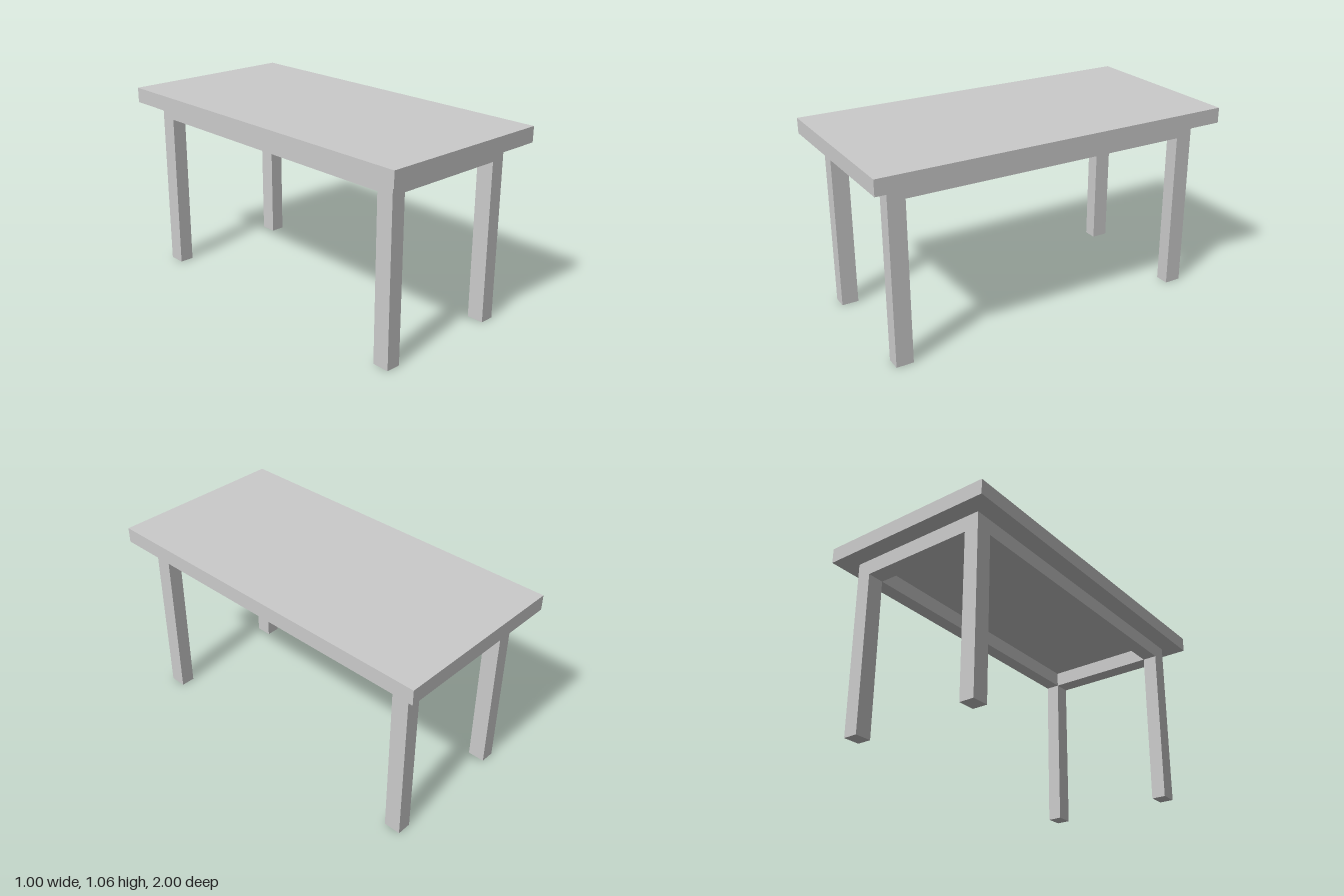
import * as THREE from 'three';

const TOP = 1.056, TOP_UNDER = 0.972, APRON_UNDER = 0.887;
const OUT_X = 0.4, OUT_Z = 0.902;   // outer faces of legs and apron
const IN_X = 0.32, IN_Z = 0.808;    // inner faces of legs and apron

const material = new THREE.MeshStandardMaterial({ color: 0xcccccc, flatShading: true });

function addPart(parent, name, geometry, x = 0, y = 0, z = 0) {
  const mesh = new THREE.Mesh(geometry, material);
  mesh.name = name;
  mesh.position.set(x, y, z);
  parent.add(mesh);
  return mesh;
}

// Rectangle centred on the origin
function rectangle(Type, hx, hy) {
  const path = new Type();
  path.moveTo(-hx, -hy).lineTo(hx, -hy).lineTo(hx, hy).lineTo(-hx, hy).closePath();
  return path;
}

export function createModel() {
  const table = new THREE.Group();
  table.name = 'table';

  // Slab overhanging the frame on all sides
  addPart(table, 'tabletop', new THREE.BoxGeometry(1, TOP - TOP_UNDER, 2), 0, (TOP + TOP_UNDER) / 2, 0);

  // Apron: one rectangular ring, as thick as the legs
  const ring = rectangle(THREE.Shape, OUT_X, OUT_Z);
  ring.holes.push(rectangle(THREE.Path, IN_X, IN_Z));
  const apron = new THREE.ExtrudeGeometry(ring, { depth: TOP_UNDER - APRON_UNDER, bevelEnabled: false });
  apron.rotateX(-Math.PI / 2);
  addPart(table, 'apron', apron, 0, APRON_UNDER, 0);

  // Four legs flush with the apron corners
  const leg = new THREE.BoxGeometry(OUT_X - IN_X, APRON_UNDER, OUT_Z - IN_Z);
  for (const [sideX, nameX] of [[1, 'Left'], [-1, 'Right']]) {
    for (const [sideZ, nameZ] of [[1, 'front'], [-1, 'back']]) {
      addPart(table, `${nameZ}${nameX}Leg`, leg,
        sideX * (OUT_X + IN_X) / 2, APRON_UNDER / 2, sideZ * (OUT_Z + IN_Z) / 2);
    }
  }
  return table;
}
